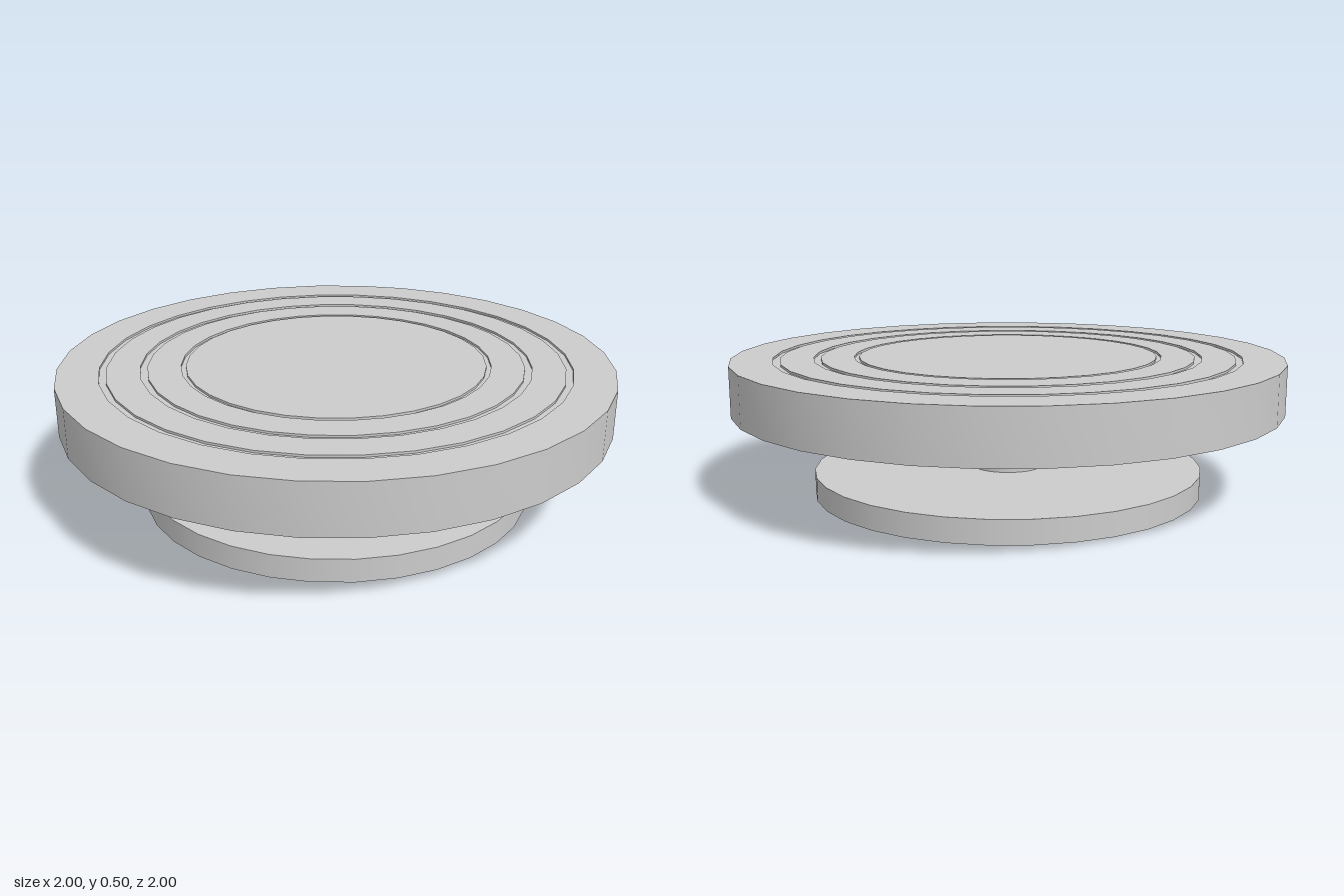
import * as THREE from 'three';
import { toCreasedNormals } from 'three/addons/utils/BufferGeometryUtils.js';

const SIDES = 32;

export function createModel() {
  const model = new THREE.Group();
  model.name = 'pedestalStand';

  const grey = new THREE.MeshStandardMaterial({ color: 0xcccccc });
  grey.name = 'light grey';

  function add(name, geometry, y) {
    const mesh = new THREE.Mesh(geometry, grey);
    mesh.name = name;
    mesh.position.y = y;
    model.add(mesh);
  }

  // Base disc and central post
  add('base', new THREE.CylinderGeometry(0.715, 0.715, 0.085, SIDES), 0.0425);
  add('post', new THREE.CylinderGeometry(0.137, 0.137, 0.24, SIDES), 0.205);

  // Turntable plate: profile from the underside, up the rim and inward over the grooves
  const bottom = 0.32, top = 0.5, depth = 0.008;
  const profile = [[0, bottom], [1, bottom], [1, top]];
  for (const [outer, inner] of [[0.85, 0.825], [0.705, 0.68], [0.56, 0.543]]) {
    profile.push([outer, top], [outer, top - depth], [inner, top - depth], [inner, top]);
  }
  profile.push([0, top]);
  const plate = new THREE.LatheGeometry(profile.map(([x, y]) => new THREE.Vector2(x, y)), SIDES);
  add('groovedPlate', toCreasedNormals(plate, 0.6), 0);

  return model;
}
